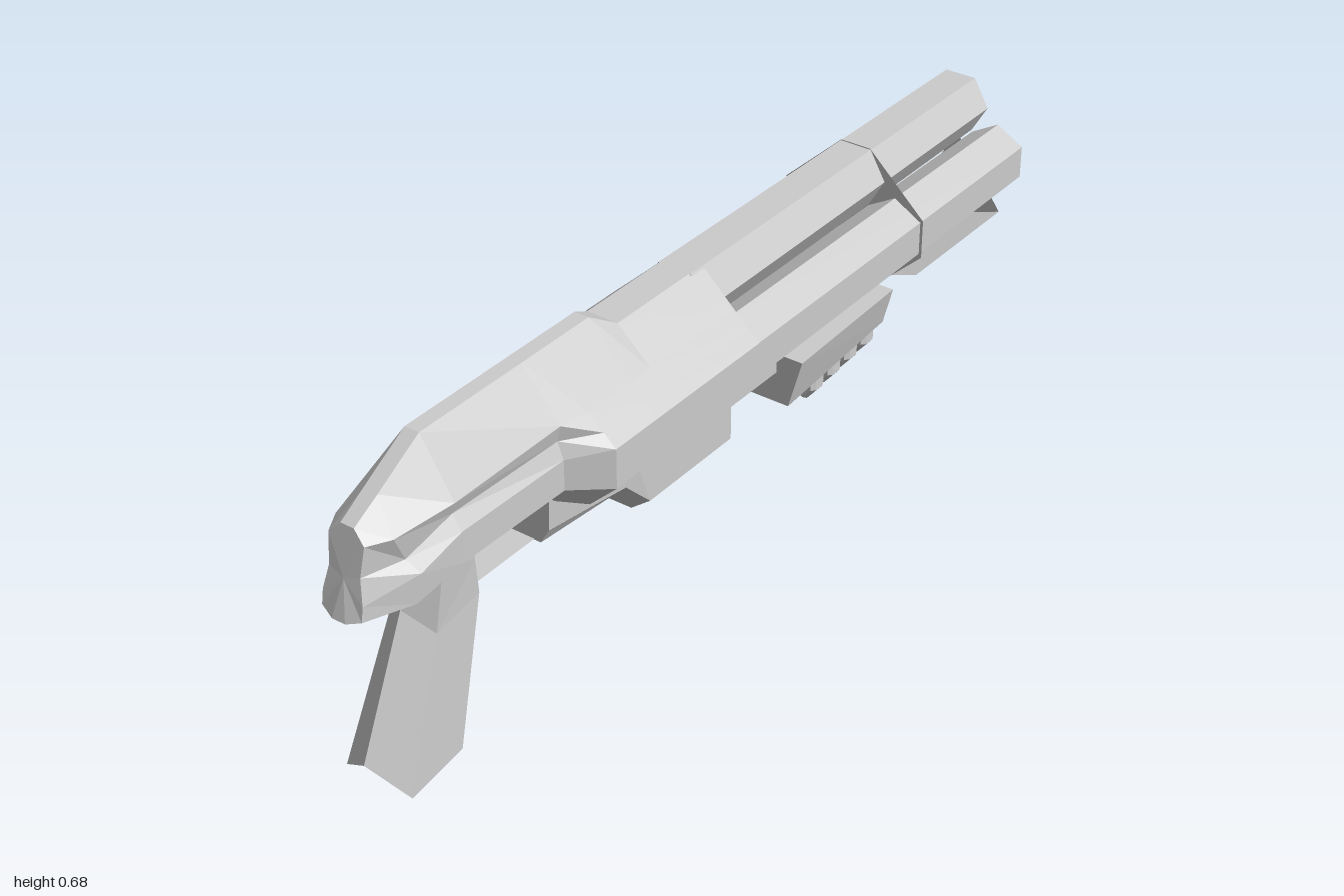
import * as THREE from 'three';

const mat = new THREE.MeshStandardMaterial({ color: 0xcccccc, flatShading: true });
const thin = new THREE.MeshStandardMaterial({ color: 0xcccccc, flatShading: true, side: THREE.DoubleSide });

// Triangles from a list of [x, y, z] corner loops, each fanned from its first corner
function facets(loops) {
  const pos = [];
  for (const l of loops)
    for (let i = 1; i < l.length - 1; i++) pos.push(...l[0], ...l[i], ...l[i + 1]);
  const g = new THREE.BufferGeometry();
  g.setAttribute('position', new THREE.Float32BufferAttribute(pos, 3));
  g.computeVertexNormals();
  return g;
}

// Closed skin over rings that run counterclockwise around the direction of travel
function loft(rings) {
  const loops = [], n = rings[0].length;
  const center = r => [0, 1, 2].map(k => r.reduce((s, p) => s + p[k], 0) / n);
  const first = rings[0], last = rings[rings.length - 1];
  for (let j = 0; j < n; j++) {
    const k = (j + 1) % n;
    for (let i = 0; i < rings.length - 1; i++)
      loops.push([rings[i][j], rings[i][k], rings[i + 1][k], rings[i + 1][j]]);
    loops.push([center(first), first[k], first[j]], [center(last), last[j], last[k]]);
  }
  return facets(loops);
}

// Mirrors a half section (listed top to bottom on +z) into a full ring
const mirror = half => [...half, ...half.map(([x, y, z]) => [x, y, -z]).reverse()];
// Half section lying in one plane of x, from [y, z] pairs
const section = (x, half) => mirror(half.map(([y, z]) => [x, y, z]));

export function createModel() {
  const model = new THREE.Group();
  const add = (name, geometry, material = mat) => {
    const mesh = new THREE.Mesh(geometry, material);
    mesh.name = name;
    model.add(mesh);
    return mesh;
  };

  // Receiver: slanted butt, side rails, raised top, faceted front
  const wide = [[0.57, 0.109], [0.54, 0.141], [0.515, 0.168], [0.43, 0.168], [0.37, 0.105]];
  add('receiver', loft([
    mirror([[-0.96, 0.575, 0.015], [-0.965, 0.55, 0.04], [-0.975, 0.49, 0.035],
      [-0.985, 0.44, 0.045], [-0.99, 0.41, 0.045], [-1, 0.40, 0.015]]),
    mirror([[-0.9, 0.61, 0.016], [-0.92, 0.55, 0.065], [-0.89, 0.49, 0.06],
      [-0.88, 0.465, 0.085], [-0.89, 0.405, 0.08], [-0.9, 0.385, 0.04]]),
    mirror([[-0.79, 0.675, 0.016], [-0.79, 0.56, 0.088], [-0.79, 0.535, 0.08],
      [-0.79, 0.505, 0.1], [-0.79, 0.44, 0.1], [-0.8, 0.4, 0.055]]),
    section(-0.52, [[0.675, 0.016], [0.575, 0.1], [0.54, 0.092], [0.505, 0.105], [0.44, 0.105], [0.4, 0.06]]),
    section(-0.45, [[0.675, 0.016], ...wide]),
    section(-0.33, [[0.675, 0.016], ...wide]),
    section(-0.27, [[0.64, 0.035], ...wide]),
    section(-0.01, [[0.64, 0.035], ...wide]),
  ]));

  // Lower housing stepping down ahead of the grip
  add('lowerHousing', loft([
    section(-0.52, [[0.45, 0.07], [0.335, 0.065], [0.3, 0.045]]),
    section(-0.33, [[0.45, 0.1], [0.335, 0.095], [0.3, 0.06]]),
    section(-0.27, [[0.42, 0.105], [0.275, 0.105], [0.24, 0.06]]),
    section(-0.01, [[0.42, 0.105], [0.275, 0.105], [0.24, 0.06]]),
  ]));

  // Four hexagonal barrels around a common axis
  const barrels = [['topBarrel', 0.575, 0, 0], ['bottomBarrel', 0.374, 0, 0],
    ['leftBarrel', 0.474, 0.099, Math.PI / 6], ['rightBarrel', 0.474, -0.099, Math.PI / 6]];
  for (const [name, y, z, turn] of barrels) {
    const g = new THREE.CylinderGeometry(0.071, 0.075, 1.03, 6);
    g.rotateY(turn).rotateZ(-Math.PI / 2);
    add(name, g).position.set(0.465, y, z);
  }

  // Thin bulkhead plate holding the barrels together
  add('barrelPlate', facets([section(0.57, [[0.64, 0.035], [0.515, 0.168], [0.43, 0.168], [0.31, 0.04]])]), thin);

  // Folded keel under the muzzle with a triangular front
  const apex = [0.982, 0.495, 0], keel = [1, 0.29, 0];
  const corner = (x, s) => [x, 0.325, s * 0.105];
  add('muzzleKeel', facets([
    [corner(0.66, 1), [0.66, 0.29, 0], keel, corner(1, 1)],
    [corner(0.66, -1), corner(1, -1), keel, [0.66, 0.29, 0]],
    [apex, corner(1, 1), keel], [apex, keel, corner(1, -1)],
  ]), thin);

  // Pistol grip with a pointed back
  const gripRing = (front, side, back) => [
    front, [front[0], front[1], -front[2]], [side[0], side[1], -side[2]], back, side];
  add('grip', loft([
    gripRing([-0.78, 0, 0.062], [-0.935, 0, 0.078], [-0.97, 0.06, 0]),
    gripRing([-0.69, 0.29, 0.042], [-0.82, 0.285, 0.055], [-0.85, 0.33, 0]),
    gripRing([-0.7, 0.37, 0.045], [-0.8, 0.42, 0.06], [-0.89, 0.4, 0]),
    gripRing([-0.7, 0.42, 0.045], [-0.8, 0.45, 0.05], [-0.87, 0.45, 0]),
  ]));

  // Flat trigger guard strip
  add('triggerGuard', new THREE.PlaneGeometry(0.19, 0.06).rotateX(-Math.PI / 2), thin)
    .position.set(-0.605, 0.302, 0);

  // Pump rod and sliding foregrip
  add('pumpRod', new THREE.BoxGeometry(0.67, 0.034, 0.04)).position.set(0.318, 0.268, 0);
  add('foregrip', loft([
    section(0.27, [[0.295, 0.082], [0.18, 0.05]]),
    section(0.625, [[0.295, 0.072], [0.208, 0.05]]),
  ]));

  // Four finger ridges curling up on the right side
  const finger = new THREE.Shape([[0.05, 0.21], [0.05, 0.165], [0.028, 0.138], [0, 0.147], [-0.06, 0.147],
    [-0.09, 0.19], [-0.09, 0.245], [-0.065, 0.262], [-0.045, 0.21]].map(([z, y]) => new THREE.Vector2(-z, y)));
  for (let i = 0; i < 4; i++) {
    const g = new THREE.ExtrudeGeometry(finger, { depth: 0.024, bevelThickness: 0.012, bevelSize: 0.006,
      bevelOffset: -0.006, bevelSegments: 1 });
    g.rotateY(Math.PI / 2);
    add('fingerRidge' + (i + 1), g).position.set(0.373 + i * 0.063, i * 0.006, 0);
  }

  return model;
}
